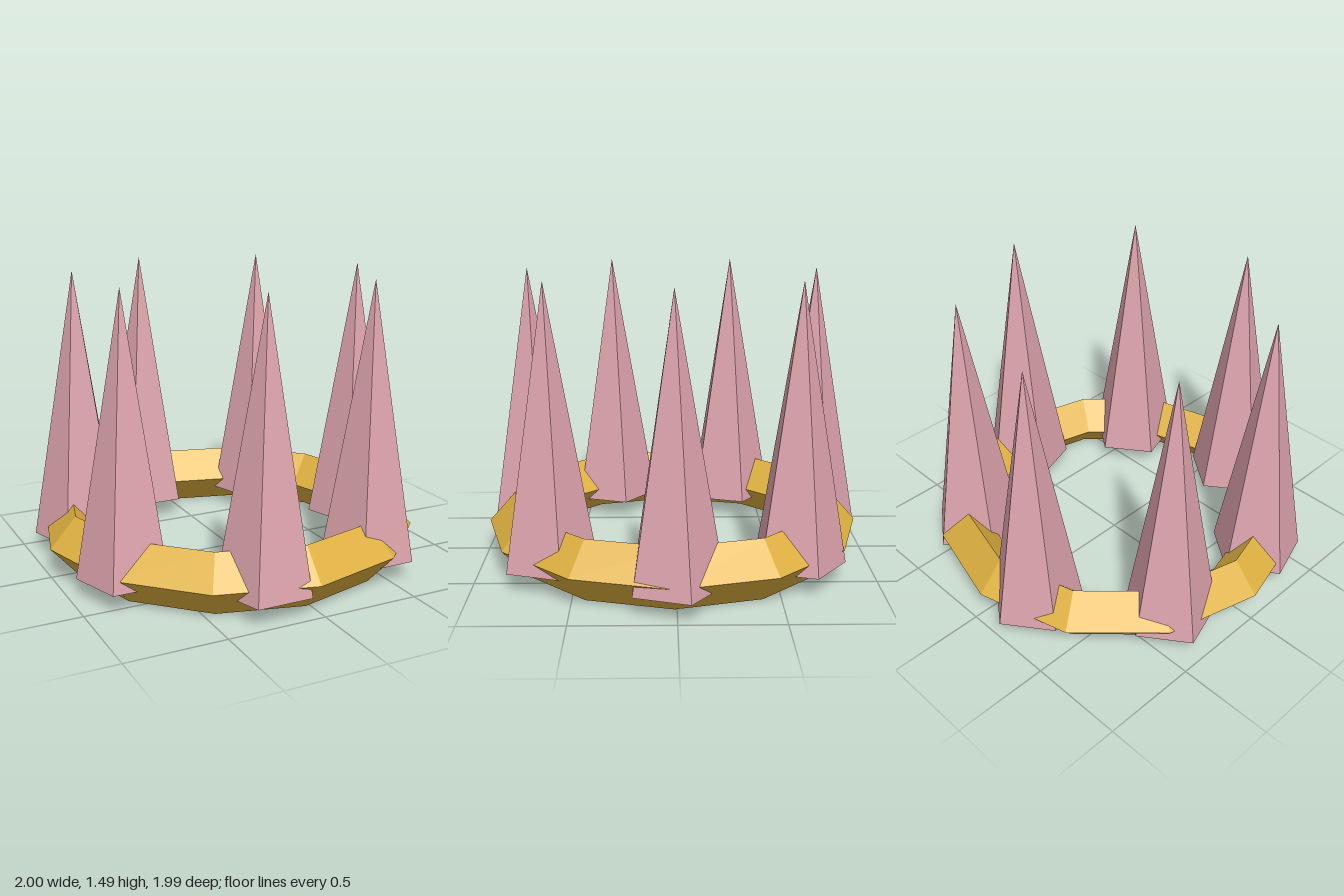
import * as THREE from 'three';

export function createModel() {
  const gold = new THREE.MeshStandardMaterial({ color: 0xdfb141, flatShading: true });
  gold.name = 'gold';
  const pink = new THREE.MeshStandardMaterial({ color: 0xdea4ad, flatShading: true });
  pink.name = 'dusty pink';

  const crown = new THREE.Group();
  crown.name = 'spikedCrown';
  const center = new THREE.Vector3(-0.02, 0, 0.012);

  // Twelve-sided band with a diamond cross-section, slightly taller than wide
  const bandGeometry = new THREE.TorusGeometry(0.845, 0.137, 4, 12);
  bandGeometry.rotateX(-Math.PI / 2);
  bandGeometry.scale(1, 0.154 / 0.137, 1);
  const band = new THREE.Mesh(bandGeometry, gold);
  band.name = 'band';
  band.position.copy(center).setY(0.154);
  crown.add(band);

  // Seven five-sided spikes, all turned the same way with one corner to the back
  const count = 7;
  const height = 1.4;
  const spikeGeometry = new THREE.ConeGeometry(0.242, height, 5);
  spikeGeometry.rotateY(Math.PI);
  for (let i = 0; i < count; i++) {
    const angle = (i / count) * Math.PI * 2;
    const spike = new THREE.Mesh(spikeGeometry, pink);
    spike.name = 'spike' + (i + 1);
    spike.position.set(
      center.x + 0.786 * Math.cos(angle),
      0.093 + height / 2,
      center.z + 0.786 * Math.sin(angle)
    );
    crown.add(spike);
  }
  return crown;
}
